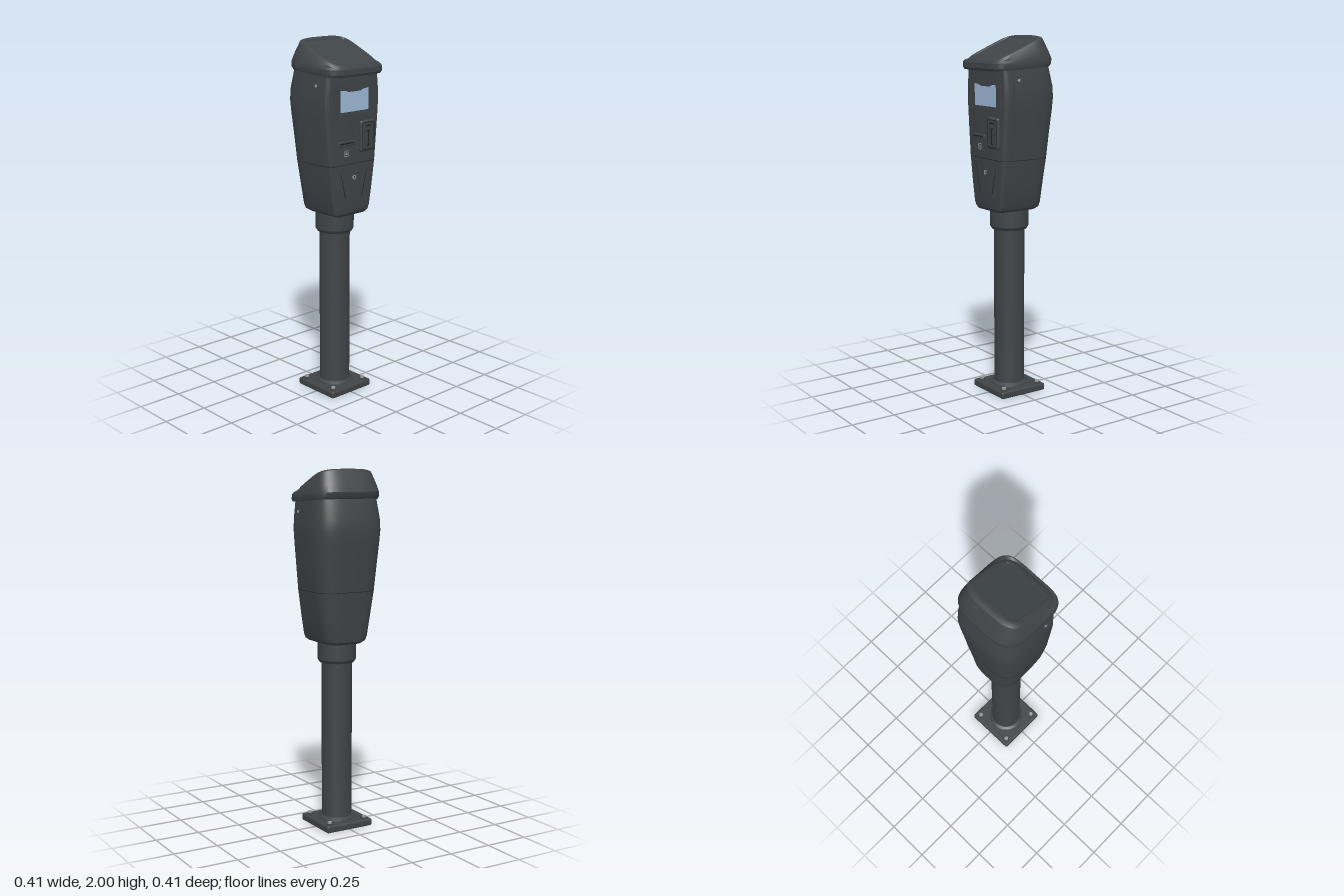
import * as THREE from 'three';
import { toCreasedNormals } from 'three/addons/utils/BufferGeometryUtils.js';
import { RoundedBoxGeometry } from 'three/addons/geometries/RoundedBoxGeometry.js';

const mat = (name, color) => {
  const m = new THREE.MeshStandardMaterial({ color });
  m.name = name;
  return m;
};

// Skin a stack of closed rings (bottom to top) and close both ends.
function loft(rings, crease = 0.6) {
  const n = rings[0].length, pos = [], idx = [];
  rings.forEach(r => r.forEach(p => pos.push(...p)));
  for (let k = 0; k < rings.length - 1; k++)
    for (let i = 0; i < n; i++) {
      const a = k * n + i, b = k * n + (i + 1) % n;
      idx.push(a, a + n, b, b, a + n, b + n);
    }
  [0, rings.length - 1].forEach(k => {
    const c = pos.length / 3;
    pos.push(...[0, 1, 2].map(j => rings[k].reduce((s, p) => s + p[j] / n, 0)));
    for (let i = 0; i < n; i++) {
      const a = k * n + i, b = k * n + (i + 1) % n;
      if (k) idx.push(c, b, a); else idx.push(c, a, b);
    }
  });
  const g = new THREE.BufferGeometry();
  g.setAttribute('position', new THREE.Float32BufferAttribute(pos, 3));
  g.setIndex(idx);
  return toCreasedNormals(g, crease);
}

// Rounded-square ring with separate front and back reach and squareness.
function squircle(hw, zf, zb, cz, nf, nb, yOf, count = 64) {
  return Array.from({ length: count }, (_, i) => {
    const a = (i + 0.5) / count * Math.PI * 2, c = Math.cos(a), s = Math.sin(a);
    const e = 2 / (s > 0 ? nf : nb);
    const x = hw * Math.sign(c) * Math.abs(c) ** e;
    const z = cz + (s > 0 ? zf - cz : zb - cz) * Math.abs(s) ** e;
    return [x, yOf(z), z];
  });
}

// Housing profile: y, half width, front z, back z
const PROFILE = [
  [1.05, 0.105, 0.135, -0.13], [1.065, 0.13, 0.146, -0.146], [1.09, 0.14, 0.15, -0.15],
  [1.2, 0.158, 0.153, -0.158], [1.34, 0.178, 0.155, -0.172], [1.5, 0.192, 0.156, -0.188],
  [1.6, 0.201, 0.156, -0.2], [1.67, 0.206, 0.156, -0.206], [1.73, 0.204, 0.156, -0.202],
  [1.85, 0.19, 0.156, -0.172],
];
const SEAM = 0.1;

// Rear shell ring: curved back, straight sides, flat where the door meets it
function shellRing([y, hw, , zb], grow = 0) {
  const w = hw + grow, cz = -0.03, pts = [[0.97 * w, y, SEAM]];
  pts.push([-0.97 * w, y, SEAM], [-0.99 * w, y, 0.04]);
  for (let i = 0; i <= 32; i++) {
    const a = Math.PI * (1 + i / 32), c = Math.cos(a), s = Math.abs(Math.sin(a));
    pts.push([w * Math.sign(c) * Math.abs(c) ** 0.6, y, cz + (zb - grow - cz) * s ** 0.6]);
  }
  pts.push([0.99 * w, y, 0.04]);
  return pts;
}

// Front door ring: flat face with bevelled sides
function doorRing([y, hw, zf], grow = 0) {
  const half = [[0.955, SEAM - 0.01], [0.955, 0.122], [0.94, 0.137], [0.87, zf - 0.003], [0.8, zf]]
    .map(([f, z]) => [f * hw + grow, y, Math.min(z, zf) + grow]);
  return [...half, ...half.map(([x, yy, z]) => [-x, yy, z]).reverse()];
}

function roundedRect(S, w, h, r) {
  const s = new S(), x = w / 2, y = h / 2;
  s.moveTo(-x + r, -y).lineTo(x - r, -y).quadraticCurveTo(x, -y, x, -y + r);
  s.lineTo(x, y - r).quadraticCurveTo(x, y, x - r, y).lineTo(-x + r, y);
  s.quadraticCurveTo(-x, y, -x, y - r).lineTo(-x, -y + r).quadraticCurveTo(-x, -y, -x + r, -y);
  return s;
}

function frame(w, h, iw, ih, r, depth) {
  const s = roundedRect(THREE.Shape, w, h, r);
  s.holes.push(roundedRect(THREE.Path, iw, ih, r * 0.6));
  return new THREE.ExtrudeGeometry(s, { depth, bevelEnabled: false, curveSegments: 5 });
}

export function createModel() {
  const model = new THREE.Group();
  model.name = 'parkingMeter';
  const body = mat('charcoal paint', 0x3f4447);
  const dark = mat('dark recess', 0x202325);
  const glass = mat('display blue', 0x9db9d8);
  const steel = mat('steel', 0x9a9da0);

  const add = (name, geo, material, x = 0, y = 0, z = 0) => {
    const m = new THREE.Mesh(geo, material);
    m.name = name;
    m.position.set(x, y, z);
    model.add(m);
    return m;
  };
  const box = (name, w, h, d, material, x, y, z) => add(name, new THREE.BoxGeometry(w, h, d), material, x, y, z);
  const lathe = (pts, seg = 48) => toCreasedNormals(
    new THREE.LatheGeometry(pts.map(p => new THREE.Vector2(...p)), seg), 0.5);

  // Base plate, bolts and post
  add('basePlate', new RoundedBoxGeometry(0.294, 0.04, 0.294, 2, 0.01), body, 0, 0.02, 0);
  for (const x of [-0.113, 0.113]) for (const z of [-0.113, 0.113]) {
    add('washer', new THREE.CylinderGeometry(0.019, 0.019, 0.006, 20), body, x, 0.042, z);
    add('bolt', new THREE.CylinderGeometry(0.012, 0.012, 0.016, 6), steel, x, 0.048, z);
  }
  add('post', lathe([[0.104, 0.038], [0.102, 0.046], [0.086, 0.056], [0.085, 0.07], [0.085, 0.96]]), body);
  add('collar', lathe([[0.084, 0.938], [0.096, 0.938], [0.107, 0.955], [0.107, 1.07], [0, 1.07]]), body);

  // Housing: rear shell, front door and the joint around them
  add('rearShell', loft(PROFILE.map(r => shellRing(r))), body);
  add('frontDoor', loft(PROFILE.map(r => doorRing(r)), 0.35), body);
  const joint = [1.3385, 1.3415].map(y => [y, 0.178, 0.155, -0.172]);
  add('shellJoint', loft(joint.map(r => shellRing(r, 0.0007))), dark);
  add('doorJoint', loft(joint.map(r => doorRing(r, 0.0007))), dark);

  // Sloping cap with a recessed top panel
  const slope = d => z => 1.868 + (0.2 - z) * 0.42 + d;
  const under = d => z => 1.818 + (0.2 - z) * 0.06 + d;
  const cap = (hw, zf, zb, y) => squircle(hw, zf, zb, -0.01, 5.3, 3.6, y);
  const panel = (inset, d) => squircle(0.14 - inset, 0.156 - inset, -0.088 + inset, 0.034, 16, 16, slope(d));
  add('cap', loft([
    cap(0.185, 0.185, -0.165, under(0)),
    cap(0.199, 0.202, -0.18, under(0)),
    cap(0.203, 0.208, -0.188, under(0.012)),
    cap(0.202, 0.207, -0.193, z => 1.858 + (0.2 - z) * 0.05),
    cap(0.192, 0.202, -0.176, z => 1.865 + (0.2 - z) * 0.15),
    cap(0.174, 0.194, -0.138, slope(-0.016)),
    cap(0.164, 0.186, -0.118, slope(-0.003)),
    cap(0.155, 0.178, -0.108, slope(0)),
    panel(0, 0), panel(0.003, -0.006),
  ], 0.5), body);

  // Display
  add('displayFrame', frame(0.294, 0.185, 0.262, 0.158, 0.018, 0.007), body, 0, 1.692, 0.154);
  add('displayBezel', frame(0.25, 0.15, 0.206, 0.13, 0.01, 0.003), body, 0, 1.69, 0.155);
  box('display', 0.21, 0.134, 0.002, glass, 0, 1.688, 0.156);
  const tab = new THREE.Shape([[-0.1, 0.012], [-0.1, 0], [-0.06, -0.004], [-0.045, -0.012],
    [0.045, -0.012], [0.06, -0.004], [0.1, 0], [0.1, 0.012]].map(p => new THREE.Vector2(...p)));
  add('displayHood', new THREE.ExtrudeGeometry(tab, { depth: 0.002, bevelEnabled: false }), body, 0, 1.744, 0.157);

  // Coin panel
  add('coinPanel', new RoundedBoxGeometry(0.105, 0.17, 0.028, 3, 0.012), body, 0.088, 1.485, 0.16);
  add('coinPanelRim', frame(0.088, 0.15, 0.08, 0.142, 0.014, 0.001), dark, 0.088, 1.485, 0.1738);
  box('coinSlot', 0.008, 0.08, 0.002, dark, 0.088, 1.47, 0.1742);
  for (const y of [1.43, 1.51]) box('coinSlotEnd', 0.02, 0.008, 0.002, dark, 0.088, y, 0.1742);
  box('coinLabel', 0.04, 0.008, 0.002, dark, 0.088, 1.54, 0.1742);

  // Card reader and its plain marker
  add('cardReader', new RoundedBoxGeometry(0.115, 0.026, 0.018, 2, 0.005), body, -0.058, 1.457, 0.157);
  box('cardSlot', 0.1, 0.007, 0.002, dark, -0.058, 1.459, 0.1662);
  add('cardMarker', frame(0.03, 0.034, 0.023, 0.027, 0.004, 0.002), steel, -0.056, 1.402, 0.155);
  box('cardMarkerDot', 0.01, 0.014, 0.002, steel, -0.056, 1.402, 0.156);

  // Door lock
  const disc = (r, d) => new THREE.CylinderGeometry(r, r, d, 24);
  add('doorLock', disc(0.019, 0.006), body, 0, 1.265, 0.155).rotation.x = Math.PI / 2;
  add('doorLockCore', disc(0.013, 0.003), steel, 0, 1.265, 0.1575).rotation.x = Math.PI / 2;
  box('keyhole', 0.005, 0.014, 0.001, dark, 0, 1.265, 0.1592);

  for (const s of [-1, 1]) {
    // Slanted grooves on the lower door
    box('doorGroove', 0.003, 0.15, 0.003, dark, s * 0.078, 1.225, 0.1532).rotation.z = -s * 0.25;
    // Side lock
    const lock = add('sideLock', disc(0.014, 0.008), body, s * 0.195, 1.77, 0.075);
    const core = add('sideLockCore', disc(0.009, 0.003), steel, s * 0.1995, 1.77, 0.075);
    lock.rotation.z = core.rotation.z = Math.PI / 2;
  }
  return model;
}
